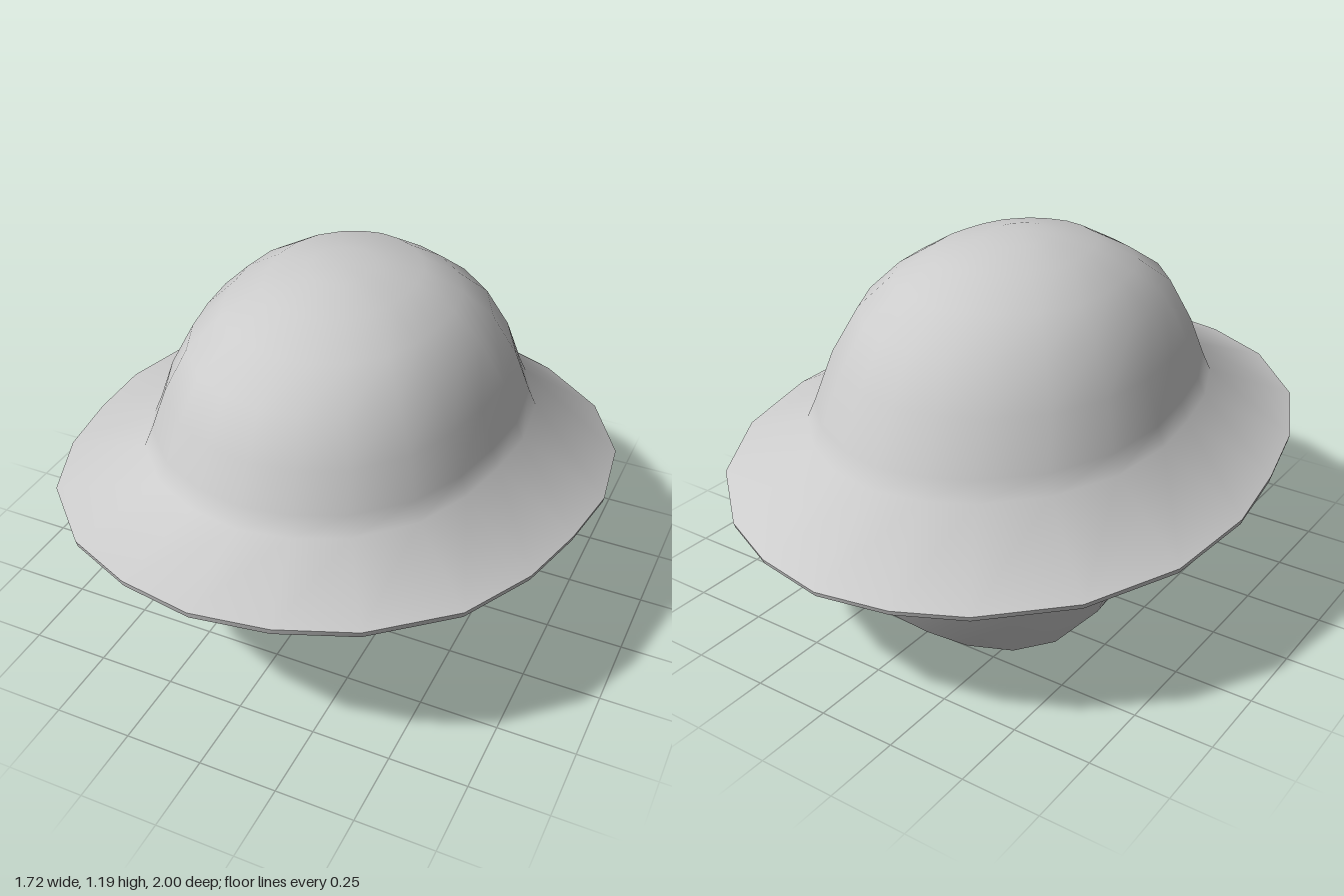
import * as THREE from 'three';
import { toCreasedNormals } from 'three/addons/utils/BufferGeometryUtils.js';

const lerp = THREE.MathUtils.lerp;

// Surface through rows of points, smooth with sharp rims
function loft(rows, name, crease) {
  const n = rows[0].length;
  const index = [];
  for (let i = 0; i < rows.length - 1; i++) {
    for (let j = 0; j < n - 1; j++) {
      const a = i * n + j, b = a + 1, d = a + n, c = d + 1;
      index.push(a, d, b, b, d, c);
    }
  }
  const geo = new THREE.BufferGeometry();
  geo.setAttribute('position', new THREE.Float32BufferAttribute(rows.flat(2), 3));
  geo.setIndex(index);
  const mat = new THREE.MeshStandardMaterial({ color: 0xcccccc, side: THREE.DoubleSide });
  const mesh = new THREE.Mesh(toCreasedNormals(geo, crease), mat);
  mesh.name = name;
  return mesh;
}

// Half outline of the brim, back to front, as unit [x, z]
const half = [
  [0, -1], [0.27, -0.96], [0.51, -0.87], [0.78, -0.67], [0.95, -0.4], [1, -0.1],
  [0.97, 0.15], [0.91, 0.4], [0.78, 0.65], [0.53, 0.86], [0.27, 0.96], [0, 1],
];
const outline = [...half, ...half.slice(0, -1).reverse().map(([x, z]) => [-x, z])];

// One tilted ring: half width, front z and y, back z and y
function ring([w, fz, fy, bz, by]) {
  return outline.map(([x, z]) => {
    const t = (z + 1) / 2;
    return [x * w, lerp(by, fy, t), lerp(bz, fz, t)];
  });
}

// Dome and brim as one closed shell
function makeShell() {
  const outer = [
    [0.86, 1, 0.605, -1, 0.425],
    [0.585, 0.72, 0.69, -0.745, 0.63],
    [0.56, 0.69, 0.75, -0.715, 0.69],
    [0.515, 0.635, 0.865, -0.64, 0.85],
    [0.44, 0.56, 1.0, -0.55, 0.99],
    [0.35, 0.42, 1.085, -0.425, 1.08],
    [0.23, 0.285, 1.155, -0.3, 1.155],
    [0.1, 0.13, 1.185, -0.12, 1.185],
    [0, 0.02, 1.195, 0.02, 1.195],
  ];
  const inner = outer.map(([w, fz, fy, bz, by], i) =>
    i === 0 ? [w * 0.995, fz * 0.995, fy - 0.02, bz * 0.995, by - 0.015]
      : [w * 0.95, fz * 0.95, fy - 0.03, bz * 0.95, by - 0.03]);
  return loft([...inner.reverse(), ...outer].map(ring), 'helmetShell', 1.0);
}

// Neck guard, ear arches and temple tabs as one continuous wall.
// Half columns, back to front: top x, z | control x, y, z | bottom x, y, z
const columns = [
  [0, -0.72, 0, 0.4, -0.8, 0, 0.01, -0.51],
  [0.17, -0.69, 0.2, 0.4, -0.77, 0.15, 0.012, -0.5],
  [0.32, -0.62, 0.36, 0.38, -0.67, 0.29, 0.02, -0.45],
  [0.45, -0.48, 0.51, 0.36, -0.52, 0.38, 0.03, -0.35],
  [0.54, -0.28, 0.58, 0.32, -0.32, 0.43, 0.05, -0.22],
  [0.56, -0.06, 0.565, 0.28, -0.16, 0.43, 0.08, -0.12],
  [0.56, -0.03, 0.565, 0.52, -0.06, 0.55, 0.45, -0.065],
  [0.555, 0.02, 0.555, 0.54, 0.01, 0.545, 0.49, 0],
  [0.55, 0.08, 0.545, 0.55, 0.07, 0.53, 0.5, 0.06],
  [0.54, 0.14, 0.53, 0.54, 0.13, 0.505, 0.465, 0.13],
  [0.525, 0.19, 0.515, 0.47, 0.18, 0.48, 0.34, 0.2],
  [0.5, 0.33, 0.49, 0.47, 0.33, 0.455, 0.34, 0.3],
  [0.475, 0.38, 0.47, 0.56, 0.38, 0.46, 0.535, 0.37],
];

// Section of the wall at one column: down the outside, up the inside
function wallSection([tx, tz, cx, cy, cz, bx, by, bz], side, lift) {
  const curve = new THREE.QuadraticBezierCurve3(
    new THREE.Vector3(tx, 0.62 + 0.03 * tz, tz),
    new THREE.Vector3(cx, cy, cz),
    new THREE.Vector3(lerp(bx, cx, lift), lerp(by, cy, lift), lerp(bz, cz, lift)));
  const points = curve.getPoints(5);
  const out = points.map((p) => [p.x * side, p.y, p.z]);
  const inn = points.map((p) => {
    const r = Math.hypot(p.x, p.z + 0.1);
    const k = 1 - 0.03 / r;
    return [p.x * k * side, p.y + 0.005, (p.z + 0.1) * k - 0.1];
  });
  return [...out, ...inn.reverse()];
}

function makeWall() {
  const left = columns.map((c) => wallSection(c, 1, 0)).reverse();
  // The right lower corner is trimmed slightly higher
  const right = columns.slice(1).map((c, i) => wallSection(c, -1, i === 3 || i === 4 ? 0.25 : 0));
  const sections = [...left, ...right];
  const rows = sections[0].map((_, i) => sections.map((s) => s[i]));
  return loft(rows, 'neckGuardAndTabs', 0.9);
}

export function createModel() {
  const group = new THREE.Group();
  group.name = 'helmet';
  group.add(makeShell(), makeWall());
  return group;
}
